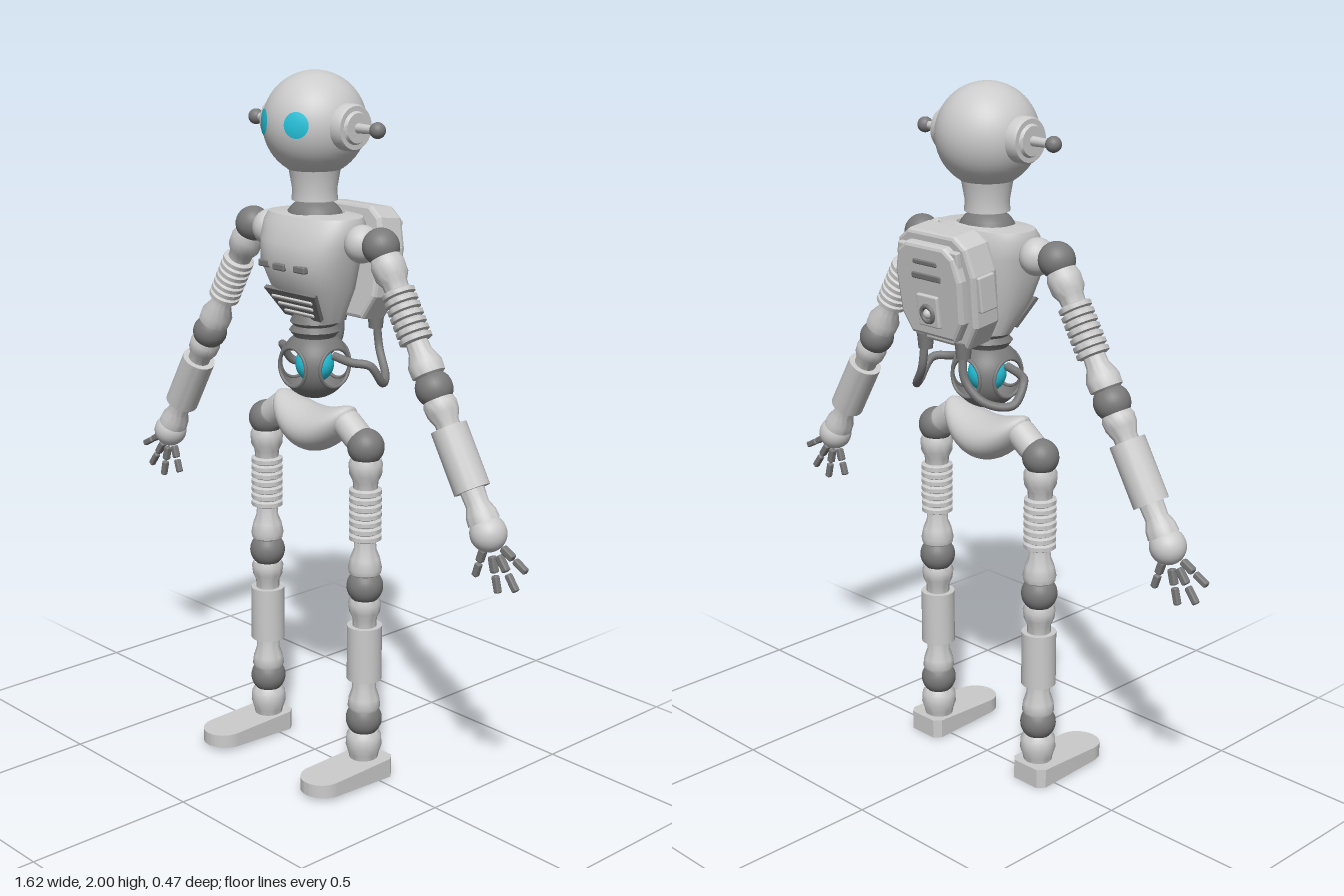
import * as THREE from 'three';
import { toCreasedNormals } from 'three/addons/utils/BufferGeometryUtils.js';
import { RoundedBoxGeometry } from 'three/addons/geometries/RoundedBoxGeometry.js';
import { ParametricGeometry } from 'three/addons/geometries/ParametricGeometry.js';

const grey = new THREE.MeshStandardMaterial({ color: 0xcccccc });
const dark = new THREE.MeshStandardMaterial({ color: 0x7a7a7a });
const shell = new THREE.MeshStandardMaterial({ color: 0x7a7a7a, side: THREE.DoubleSide });
const cyan = new THREE.MeshStandardMaterial({ color: 0x25c4dc });

function add(parent, name, geo, mat = grey, x = 0, y = 0, z = 0) {
  const m = new THREE.Mesh(geo, mat);
  m.name = name;
  m.position.set(x, y, z);
  parent.add(m);
  return m;
}
const group = (parent, name, x = 0, y = 0, z = 0) => {
  const g = new THREE.Group();
  g.name = name;
  g.position.set(x, y, z);
  parent.add(g);
  return g;
};
const ball = (r) => new THREE.SphereGeometry(r, 28, 18);
const box = (w, h, d, r = 0.005) => new RoundedBoxGeometry(w, h, d, 2, r);
// Turned part from [y, radius] pairs listed from the top down
const turned = (pairs) => toCreasedNormals(new THREE.LatheGeometry(
  pairs.map(([y, r]) => new THREE.Vector2(r, y)).reverse(), 28), 0.6);
// Corrugated sleeve between two heights
function ribbed(top, bottom, n, r) {
  const pts = [[top, 0]], h = (top - bottom) / n;
  for (let i = 0; i < n; i++) {
    const y = top - i * h;
    pts.push([y, r * 0.8], [y - h * 0.2, r], [y - h * 0.75, r], [y - h * 0.95, r * 0.8]);
  }
  pts.push([bottom, 0]);
  return turned(pts);
}
// Skin through rounded cross-sections [y, halfWidth, zFront, zBack], bottom up
function loft(sections, power = 0.8, n = 48) {
  const pos = [], idx = [];
  const bend = (v) => Math.sign(v) * Math.abs(v) ** power;
  for (const [y, hx, zf, zb] of sections) {
    for (let i = 0; i < n; i++) {
      const a = (i / n) * Math.PI * 2;
      pos.push(hx * bend(Math.sin(a)), y, (zf + zb) / 2 + (zf - zb) / 2 * bend(Math.cos(a)));
    }
  }
  for (let j = 0; j < sections.length - 1; j++) {
    for (let i = 0; i < n; i++) {
      const a = j * n + i, b = j * n + (i + 1) % n;
      idx.push(a, b, b + n, a, b + n, a + n);
    }
  }
  const g = new THREE.BufferGeometry();
  g.setAttribute('position', new THREE.Float32BufferAttribute(pos, 3));
  g.setIndex(idx);
  return toCreasedNormals(g, 0.6);
}

function buildHead(root) {
  const head = group(root, 'head', 0, 1.857, 0);
  add(head, 'skull', new THREE.SphereGeometry(0.143, 40, 28));
  for (const s of [-1, 1]) {
    const eye = add(head, 'eye', new THREE.SphereGeometry(0.146, 24, 6, 0, Math.PI * 2, 0, 0.245), cyan);
    eye.quaternion.setFromUnitVectors(new THREE.Vector3(0, 1, 0), new THREE.Vector3(s * 0.066, 0.008, 0.127).normalize());
    // Ear cups with antenna, turned about the x axis
    const ear = add(head, 'ear', turned([[0.172, 0], [0.172, 0.04], [0.163, 0.045], [0.163, 0.058], [0.155, 0.063], [0.125, 0.063]]));
    ear.rotation.z = -s * Math.PI / 2;
    const rod = add(head, 'antenna', new THREE.CylinderGeometry(0.011, 0.014, 0.09, 14), grey, s * 0.205);
    rod.rotation.z = -s * Math.PI / 2;
    add(head, 'antennaTip', ball(0.022), dark, s * 0.245);
  }
  add(root, 'neck', turned([[1.745, 0.074], [1.725, 0.07], [1.68, 0.062], [1.65, 0.064], [1.65, 0]]));
  add(root, 'neckBase', ball(0.085), dark, 0, 1.595, 0).scale.set(1, 0.75, 0.9);
}

function buildChest(root) {
  add(root, 'chest', loft([
    [1.315, 0, -0.01, -0.01], [1.315, 0.085, 0.04, -0.06], [1.41, 0.128, 0.1, -0.085],
    [1.48, 0.145, 0.13, -0.095], [1.54, 0.158, 0.122, -0.1], [1.59, 0.164, 0.1, -0.098],
    [1.612, 0.155, 0.085, -0.09], [1.618, 0.085, 0.06, -0.07], [1.6, 0.08, 0.055, -0.065]]));
  for (const x of [-0.072, 0, 0.072]) {
    add(root, 'chestSlot', box(0.046, 0.02, 0.02), dark, x, 1.478, x ? 0.117 : 0.127);
  }
  // Vent on the sloping lower front
  const vent = group(root, 'vent', 0, 1.362, 0.068);
  vent.rotation.x = 0.58;
  const plate = new THREE.Shape([[-0.075, -0.045], [0.075, -0.045], [0.105, 0.05], [-0.105, 0.05]].map((p) => new THREE.Vector2(...p)));
  const geo = new THREE.ExtrudeGeometry(plate, { depth: 0.012, bevelEnabled: false, curveSegments: 1 });
  add(vent, 'ventPlate', geo, dark, 0, 0, -0.01);
  for (let i = 0; i < 3; i++) add(vent, 'ventSlat', box(0.12 + i * 0.022, 0.01, 0.01, 0.003), grey, 0, -0.025 + i * 0.025, 0.003);
  add(root, 'spine', turned([[1.33, 0], [1.33, 0.06], [1.31, 0.07], [1.3, 0.06], [1.285, 0.072], [1.27, 0.06], [1.25, 0.05]]), dark);
}

function buildWaist(root) {
  const waist = group(root, 'waist', 0, 1.188, 0);
  // One quarter of a sphere with a round window
  const quarter = (u, v, t) => {
    const p = u * Math.PI * 2, c = Math.cos(p), s = Math.sin(p);
    const edge = 1 / Math.max(Math.abs(c) / (Math.PI / 4), Math.abs(s) / (Math.PI / 2));
    const d = 0.58 + (edge - 0.58) * v, a = c * d, e = s * d;
    t.set(Math.sin(a) * Math.cos(e), Math.sin(e), Math.cos(a) * Math.cos(e)).multiplyScalar(0.099);
  };
  for (let i = 0; i < 4; i++) {
    const turn = group(waist, 'waistQuarter');
    turn.rotation.y = i * Math.PI / 2;
    add(turn, 'cage', new ParametricGeometry(quarter, 48, 8), shell);
    add(turn, 'windowRim', new THREE.TorusGeometry(0.055, 0.005, 8, 32), dark, 0, 0, 0.083);
  }
  add(waist, 'core', ball(0.055), cyan);

  // Pelvis: ball bent upward at both sides
  const pelvis = new THREE.SphereGeometry(1, 40, 24);
  const p = pelvis.attributes.position;
  for (let i = 0; i < p.count; i++) {
    const X = p.getX(i), Y = p.getY(i), Z = p.getZ(i);
    p.setXYZ(i, X * 0.152, 1.0 + Y * 0.065 + 0.075 * X * X, Z * 0.085);
  }
  pelvis.computeVertexNormals();
  add(root, 'pelvis', pelvis);
}

function buildBackpack(root) {
  const pack = group(root, 'backpack', 0, 1.47, -0.155);
  pack.rotation.x = -0.13;
  const half = [[0.095, -0.15], [0.132, -0.09], [0.14, 0.05], [0.12, 0.12], [0.085, 0.145]];
  const outline = [...half, ...half.map(([x, y]) => [-x, y]).reverse()];
  const layer = (k, depth) => new THREE.ExtrudeGeometry(
    new THREE.Shape(outline.map(([x, y]) => new THREE.Vector2(x * k, y * k))),
    { depth, bevelSize: 0.01, bevelThickness: 0.012, bevelSegments: 2 });
  add(pack, 'packBody', layer(1, 0.07), grey, 0, 0, -0.03);
  add(pack, 'packCover', layer(0.82, 0.02), grey, 0, 0, -0.058);
  add(pack, 'packSlot', box(0.09, 0.014, 0.01, 0.004), dark, 0, 0.08, -0.07);
  add(pack, 'packSlot', box(0.11, 0.018, 0.01, 0.004), dark, 0, 0.04, -0.07);
  add(pack, 'portPlate', box(0.08, 0.09, 0.016), grey, 0, -0.055, -0.072);
  add(pack, 'port', new THREE.TorusGeometry(0.022, 0.007, 10, 24), dark, 0, -0.062, -0.08);
  add(pack, 'portCap', ball(0.014), grey, 0, -0.062, -0.078);
  add(pack, 'packMount', box(0.12, 0.16, 0.05), dark, 0, 0.02, 0.065);
  for (const s of [-1, 1]) {
    add(pack, 'packRail', box(0.022, 0.1, 0.06), grey, s * 0.148, 0, 0.002);
    add(pack, 'packClip', box(0.03, 0.05, 0.02), grey, s * 0.1, 0.095, -0.05);
    // Hose from the pack to the waist
    add(root, 'hoseFitting', new THREE.CylinderGeometry(0.024, 0.02, 0.045, 16), dark, s * 0.075, 1.3, -0.165);
    const path = new THREE.CatmullRomCurve3([
      [0.075, 1.3, -0.168], [0.085, 1.22, -0.17], [0.135, 1.16, -0.145], [0.185, 1.15, -0.085],
      [0.182, 1.205, -0.04], [0.14, 1.212, -0.01], [0.08, 1.222, 0]].map(([x, y, z]) => new THREE.Vector3(s * x, y, z)));
    add(root, 'hose', new THREE.TubeGeometry(path, 48, 0.012, 12), dark);
  }
}

function buildArm(root, s) {
  add(root, 'shoulderMount', ball(0.052), grey, s * 0.19, 1.55, 0).scale.x = 0.9;
  // Drawn hanging straight down, then swung outward
  const arm = group(root, 'arm', s * 0.262, 1.552, 0);
  arm.rotation.z = s * 0.53;
  add(arm, 'shoulder', ball(0.051), dark);
  add(arm, 'shoulderCuff', turned([[-0.03, 0.04], [-0.05, 0.047], [-0.085, 0.046], [-0.105, 0.035], [-0.13, 0.033]]));
  add(arm, 'upperSleeve', ribbed(-0.125, -0.275, 7, 0.046));
  add(arm, 'upperCuff', turned([[-0.27, 0.03], [-0.3, 0.032], [-0.335, 0.047], [-0.365, 0.046], [-0.375, 0.03]]));
  add(arm, 'elbow', ball(0.051), dark, 0, -0.405, 0);
  add(arm, 'elbowCuff', turned([[-0.435, 0.04], [-0.45, 0.046], [-0.475, 0.044], [-0.5, 0.033], [-0.53, 0.033]]));
  add(arm, 'forearm', turned([[-0.515, 0], [-0.515, 0.05], [-0.69, 0.05], [-0.69, 0]]));
  add(arm, 'wrist', turned([[-0.68, 0.034], [-0.73, 0.032], [-0.755, 0.042], [-0.78, 0.044]]));
  add(arm, 'palm', ball(0.05), grey, 0, -0.81, 0);
  // Jointed fingers fanned in the plane of the arm
  for (const [angle, k] of [[0.55, 0.95], [0.12, 1.05], [-0.28, 1], [-0.85, 0.85]]) {
    const finger = group(arm, 'finger', 0, -0.81, 0);
    finger.rotation.z = s * angle;
    add(finger, 'fingerBase', box(0.02, 0.045 * k, 0.02), dark, 0, -0.083 * k, 0);
    add(finger, 'fingerTip', box(0.018, 0.048 * k, 0.018), dark, 0, -0.136 * k, 0);
  }
}

function buildLeg(root, s) {
  const mount = add(root, 'hipMount', new THREE.CapsuleGeometry(0.042, 0.05, 8, 24), grey, s * 0.155, 1.025, 0);
  mount.rotation.z = s * 0.95;
  const leg = group(root, 'leg', s * 0.21, 0, 0);
  add(leg, 'hip', ball(0.052), dark, 0, 0.988, 0);
  add(leg, 'hipCuff', turned([[0.955, 0.042], [0.94, 0.048], [0.91, 0.046], [0.89, 0.036], [0.86, 0.034]]));
  add(leg, 'thighSleeve', ribbed(0.87, 0.715, 7, 0.046));
  add(leg, 'kneeCuff', turned([[0.73, 0.03], [0.69, 0.032], [0.665, 0.042], [0.635, 0.048], [0.62, 0.045], [0.61, 0.03]]));
  add(leg, 'knee', ball(0.052), dark, 0, 0.58, 0);
  add(leg, 'lowerKneeCuff', turned([[0.545, 0.042], [0.53, 0.047], [0.505, 0.044], [0.485, 0.035], [0.45, 0.034]]));
  add(leg, 'shin', turned([[0.462, 0], [0.462, 0.05], [0.3, 0.05], [0.3, 0]]));
  add(leg, 'ankleCuff', turned([[0.31, 0.034], [0.27, 0.034], [0.24, 0.044], [0.215, 0.047], [0.2, 0.04]]));
  add(leg, 'ankle', ball(0.052), dark, 0, 0.175, 0);
  add(leg, 'heelBall', turned([[0.14, 0.04], [0.125, 0.05], [0.095, 0.052], [0.07, 0.044], [0.05, 0.04]]));

  // Foot: round toe, clipped heel, sole lifting toward the toe
  const outline = new THREE.Shape();
  outline.moveTo(-0.045, -0.06).lineTo(0.045, -0.06).lineTo(0.063, -0.04).lineTo(0.063, 0.168);
  outline.absarc(0, 0.168, 0.063, 0, Math.PI, false);
  outline.lineTo(-0.063, -0.04);
  const foot = new THREE.ExtrudeGeometry(outline, { depth: 0.045, bevelEnabled: false, curveSegments: 16 });
  foot.rotateX(Math.PI / 2).translate(0, 0.045, 0);
  const p = foot.attributes.position;
  for (let i = 0; i < p.count; i++) {
    const top = p.getY(i) > 0.02, toe = (p.getZ(i) + 0.06) / 0.291;
    p.setY(i, top ? 0.058 - 0.008 * toe : 0.012 * toe);
  }
  foot.computeVertexNormals();
  add(leg, 'foot', toCreasedNormals(foot, 0.6), grey, s * 0.008, 0, 0);
}

export function createModel() {
  const root = new THREE.Group();
  root.name = 'robot';
  buildHead(root);
  buildChest(root);
  buildWaist(root);
  buildBackpack(root);
  for (const s of [-1, 1]) {
    buildArm(root, s);
    buildLeg(root, s);
  }
  return root;
}
